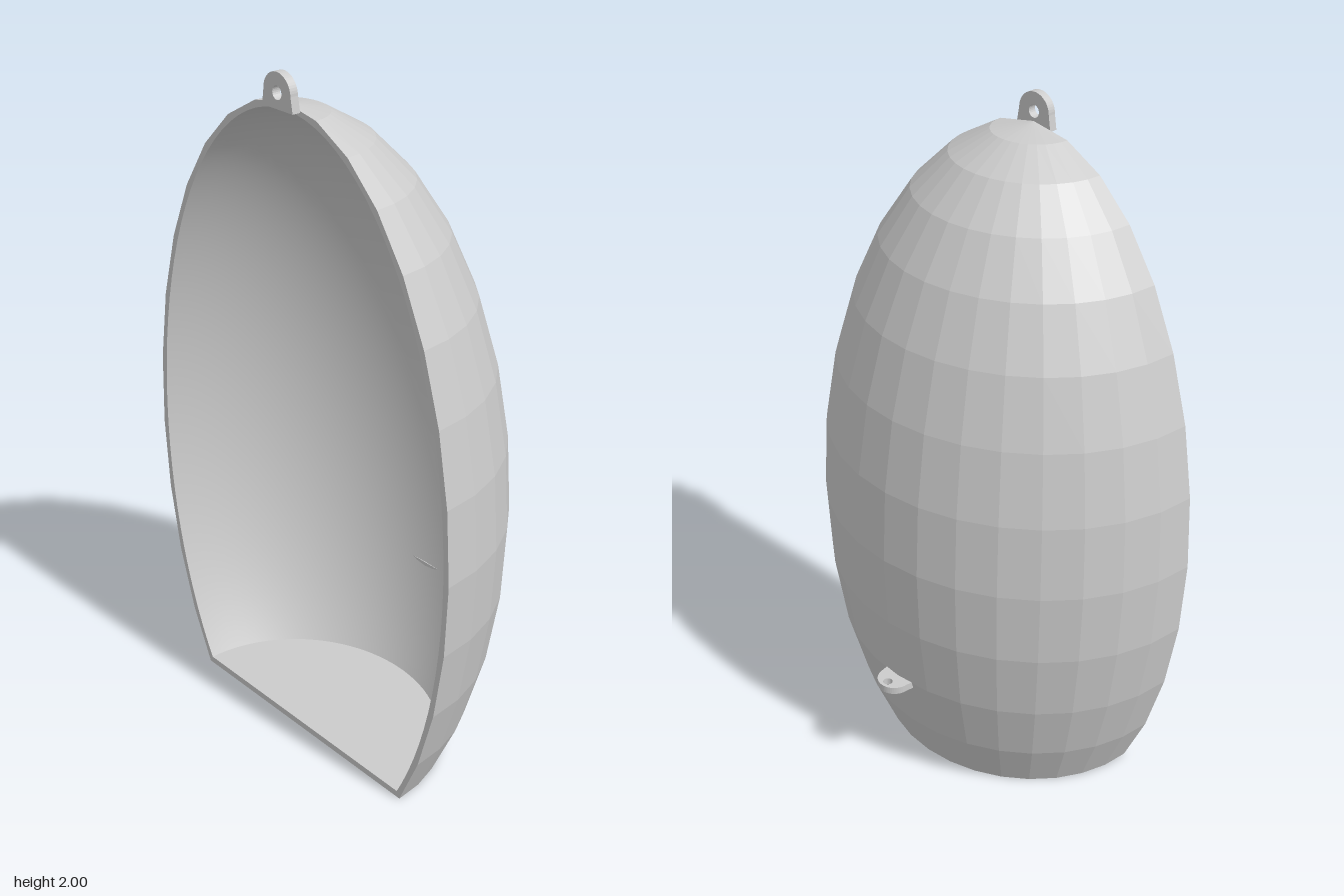
import * as THREE from 'three';

const CENTRE_X = -0.29, SQUASH = 0.932, RADIUS = 0.617, HEIGHT = 1.13, MID_Y = 0.79;
const WALL = 0.02;

// Half-ellipse profile from the floor up to the apex
function profile(inset, floorY, steps) {
  const r = RADIUS - inset, h = HEIGHT - inset, points = [];
  const end = Math.acos((floorY - MID_Y) / h);
  const step = Math.PI / steps;
  points.push(new THREE.Vector2(r * Math.sin(end), floorY));
  for (let i = Math.ceil(end / step - 0.1) - 1; i > 0; i--) {
    points.push(new THREE.Vector2(r * Math.sin(i * step), MID_Y + h * Math.cos(i * step)));
  }
  points.push(new THREE.Vector2(0, MID_Y + h));
  return points;
}

// Closed outline: the profile plus its mirror image
function outline(points) {
  const mirrored = points.slice(0, -1).reverse().map(p => new THREE.Vector2(-p.x, p.y));
  return [...points, ...mirrored];
}

// Flat lug with a rounded end and a drilled hole, growing towards +y
function lugGeometry(radius, centreY, baseWidth, holeY, holeRadius, depth) {
  const shape = new THREE.Shape();
  shape.moveTo(-baseWidth, 0);
  shape.lineTo(baseWidth, 0);
  shape.lineTo(radius, centreY);
  shape.absarc(0, centreY, radius, 0, Math.PI, false);
  shape.closePath();
  const hole = new THREE.Path();
  hole.absarc(0, holeY, holeRadius, 0, Math.PI * 2, true);
  shape.holes.push(hole);
  return new THREE.ExtrudeGeometry(shape, { depth, bevelEnabled: false, curveSegments: 12 });
}

export function createModel() {
  const group = new THREE.Group();
  const smooth = new THREE.MeshStandardMaterial({ color: 0xcccccc });
  const faceted = new THREE.MeshStandardMaterial({ color: 0xcccccc, flatShading: true });
  const add = (name, geometry, material, parent = group) => {
    const mesh = new THREE.Mesh(geometry, material);
    mesh.name = name;
    parent.add(mesh);
    return mesh;
  };

  // Half-egg shell, slightly squashed in depth
  const shell = new THREE.Group();
  shell.name = 'shell';
  shell.scale.x = SQUASH;
  shell.position.x = CENTRE_X;
  group.add(shell);

  const outer = profile(0, 0, 16);
  const inner = profile(WALL, WALL, 48);
  const lathe = (points, segments) => new THREE.LatheGeometry(points, segments, 0, Math.PI);
  add('outerShell', lathe([new THREE.Vector2(0, 0), ...outer], 16), faceted, shell);
  add('innerShell', lathe([...inner].reverse(), 48), smooth, shell);
  add('innerFloor', lathe([inner[0], new THREE.Vector2(0, WALL)], 48), faceted, shell);

  // Flat rim around the open back
  const rim = new THREE.Shape(outline(outer));
  rim.holes.push(new THREE.Path(outline(inner).reverse()));
  add('rim', new THREE.ShapeGeometry(rim).rotateY(-Math.PI / 2), faceted, shell);

  // Upright hanging lug at the top of the rim
  const top = lugGeometry(0.053, 0.042, 0.06, 0.042, 0.018, 0.024);
  top.rotateY(-Math.PI / 2).translate(CENTRE_X, 1.905, 0);
  add('topLug', top, faceted);

  // Horizontal lug low on the outer wall
  const side = lugGeometry(0.05, 0.035, 0.055, 0.062, 0.014, 0.022);
  side.rotateX(-Math.PI / 2).rotateY(-Math.PI / 2).translate(0.22, 0.338, 0);
  add('sideLug', side, faceted);

  return group;
}
